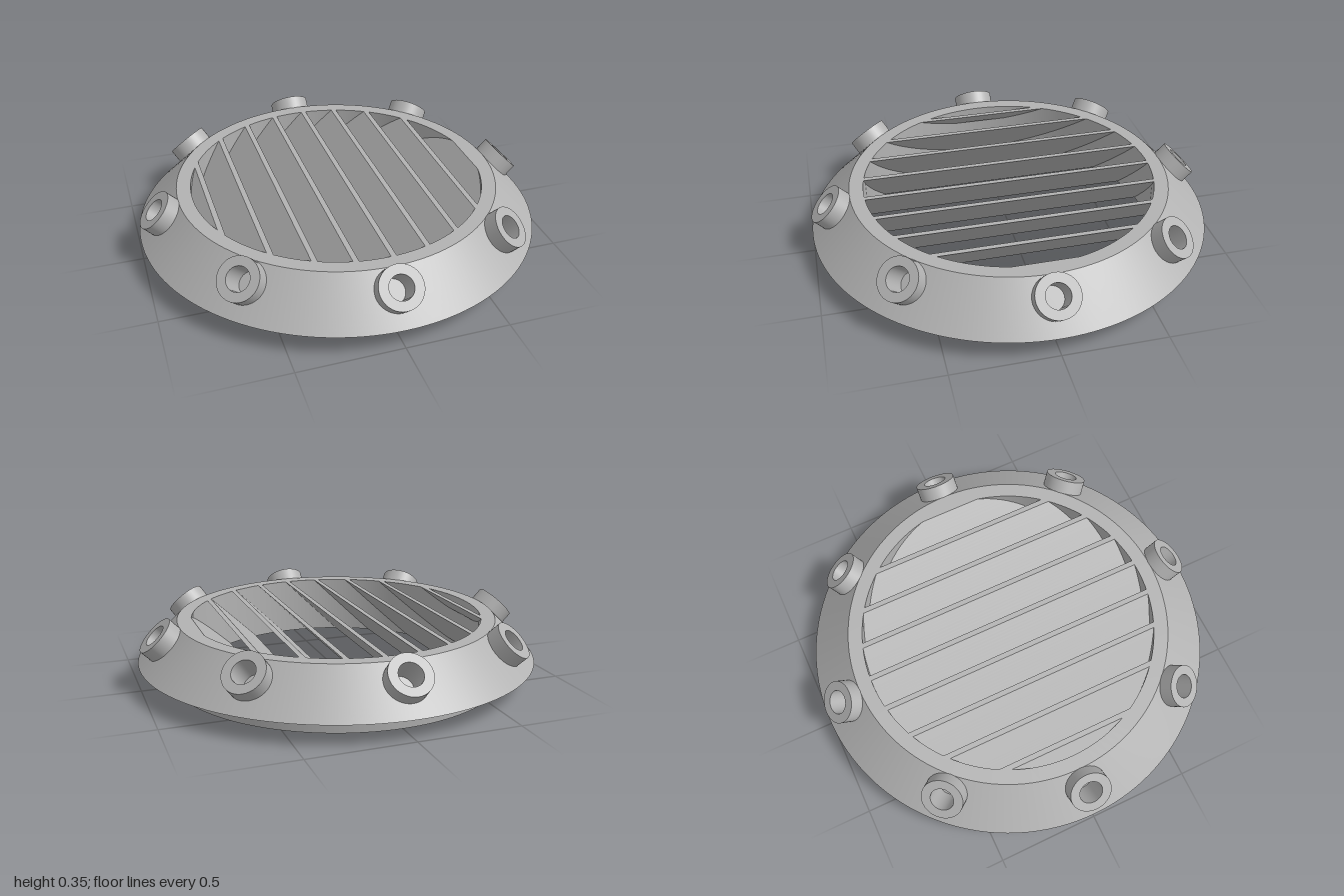
import * as THREE from 'three';

const H = 0.297;        // overall ring height
const FLANGE_Y = 0.1;   // underside of the flange
const R_IN = 0.73, R_BASE = 0.85, R_TOP = 0.8, R_OUT = 1;
const SEGMENTS = 128, STUDS = 8;

const metal = new THREE.MeshStandardMaterial({ color: 0xb2b2b2 });
metal.name = 'grey metal';

function part(name, geometry) {
  const mesh = new THREE.Mesh(geometry, metal);
  mesh.name = name;
  return mesh;
}

// Lathe each profile edge on its own so that corners stay sharp
function turned(name, profile, segments) {
  const group = new THREE.Group();
  group.name = name;
  for (let i = 0; i < profile.length - 1; i++) {
    const edge = [profile[i], profile[i + 1]].map(([r, y]) => new THREE.Vector2(r, y));
    group.add(part(name + 'Face', new THREE.LatheGeometry(edge, segments)));
  }
  return group;
}

// One sector of the sloping flange, a grid running from a round hole to the sector's border
function flangeSector() {
  const side = SEGMENTS / STUDS;
  const g = new THREE.PlaneGeometry(1, 1, side * 4, 6);
  const pos = g.attributes.position, nor = g.attributes.normal;
  const halfAngle = Math.PI / STUDS;
  const centre = 0.64, hole = 0.075, rMid = 0.875;
  const slant = Math.hypot(R_OUT - R_TOP, H - FLANGE_Y);
  const corners = [[-1, 0], [1, 0], [1, 1], [-1, 1], [-1, 0]];
  for (let i = 0; i < pos.count; i++) {
    const p = Math.round((pos.getX(i) + 0.5) * side * 4);
    const k = Math.min(3, Math.floor(p / side)), f = p / side - k;
    const bx = THREE.MathUtils.lerp(corners[k][0], corners[k + 1][0], f) * halfAngle;
    const by = THREE.MathUtils.lerp(corners[k][1], corners[k + 1][1], f);
    const dx = bx * rMid, dy = (by - centre) * slant, d = Math.hypot(dx, dy);
    const v = pos.getY(i) + 0.5;
    const phi = THREE.MathUtils.lerp(bx, (dx / d) * hole / rMid, v);
    const s = THREE.MathUtils.lerp(by, centre + (dy / d) * hole / slant, v);
    const r = THREE.MathUtils.lerp(R_OUT, R_TOP, s);
    pos.setXYZ(i, r * Math.sin(phi), THREE.MathUtils.lerp(FLANGE_Y, H, s), r * Math.cos(phi));
    nor.setXYZ(i, Math.sin(phi) * Math.SQRT1_2, Math.SQRT1_2, Math.cos(phi) * Math.SQRT1_2);
  }
  return g;
}

// A 45 degree louvre whose ends follow the round inner wall
function slatGeometry(x0) {
  const R = 0.742, w = 0.026;
  const yMin = Math.max(0, H - x0 - R);
  const yMax = Math.min(H, H + R - w - x0);
  const g = new THREE.BoxGeometry(1, 1, 1, 1, 24, 1);
  const pos = g.attributes.position;
  for (let i = 0; i < pos.count; i++) {
    const y = THREE.MathUtils.lerp(yMin, yMax, pos.getY(i) + 0.5);
    const x = x0 + y - H + (pos.getX(i) + 0.5) * w;
    const half = Math.sqrt(Math.max(0, R * R - x * x));
    pos.setXYZ(i, x, y, Math.sign(pos.getZ(i)) * half);
  }
  g.computeVertexNormals();
  return g;
}

export function createModel() {
  const model = new THREE.Group();
  model.name = 'ventGrille';

  // Ring: top rim, inner wall, bottom, base wall and flange underside
  model.add(turned('ring', [
    [R_TOP, H], [R_IN, H], [R_IN, 0], [R_BASE, 0], [R_BASE, FLANGE_Y], [R_OUT, FLANGE_Y],
  ], SEGMENTS));

  // Sloping flange with a hollow stud in the middle of each sector
  const sector = flangeSector();
  const studProfile = [[0.104, -0.025], [0.104, 0.067], [0.058, 0.067], [0.058, -0.07], [0, -0.07]];
  for (let i = 0; i < STUDS; i++) {
    const arm = new THREE.Group();
    arm.name = 'flangeSector';
    arm.rotation.y = (i / STUDS) * Math.PI * 2;
    arm.add(part('flange', sector));
    const stud = turned('stud', studProfile, 40);
    stud.position.set(0, 0.225, 0.873);
    stud.rotation.x = Math.PI / 4;
    arm.add(stud);
    model.add(arm);
  }

  // Louvres across the opening
  for (let k = 0; k < 10; k++) {
    model.add(part('slat', slatGeometry(-0.667 + k * 0.1725)));
  }
  return model;
}
